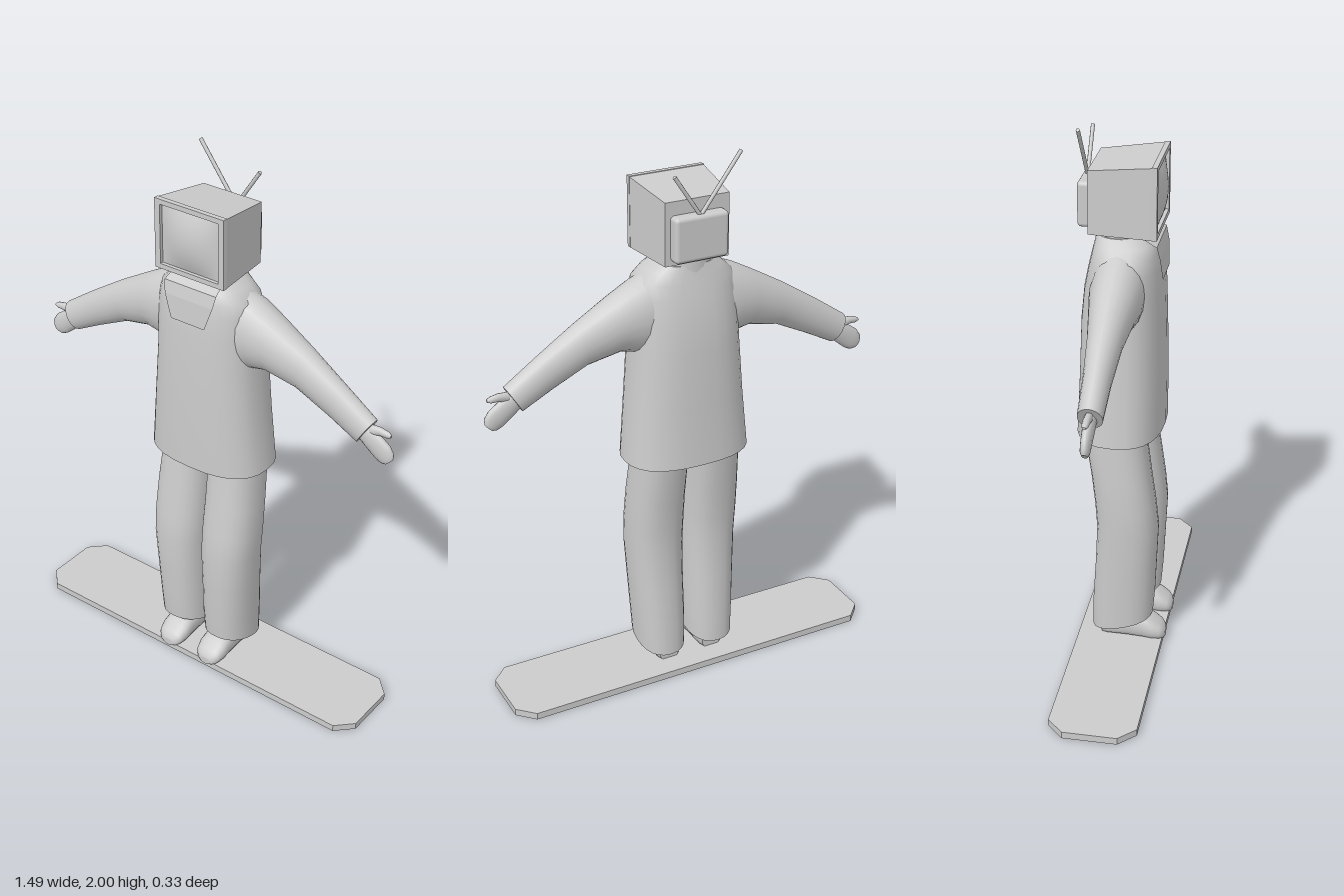
import * as THREE from 'three';
import { RoundedBoxGeometry } from 'three/addons/geometries/RoundedBoxGeometry.js';

const V = (x, y, z) => new THREE.Vector3(x, y, z);

// Smooth skin over rings { c: centre, u, v: half-axes }; e squares the ring off; ends are capped
function loft(rings, sides = 24, e = 2) {
  const pos = [], index = [];
  const axis = rings[rings.length - 1].c.clone().sub(rings[0].c);
  const flip = rings[0].u.clone().cross(rings[0].v).dot(axis) < 0 ? -1 : 1;
  const sq = (t) => Math.sign(t) * Math.pow(Math.abs(t), 2 / e);
  const ringPoints = ({ c, u, v }) => {
    for (let j = 0; j < sides; j++) {
      const a = (j / sides) * Math.PI * 2;
      const p = c.clone().addScaledVector(u, sq(Math.cos(a))).addScaledVector(v, flip * sq(Math.sin(a)));
      pos.push(p.x, p.y, p.z);
    }
  };
  rings.forEach(ringPoints);
  for (let i = 0; i < rings.length - 1; i++) {
    for (let j = 0; j < sides; j++) {
      const a = i * sides + j, b = i * sides + ((j + 1) % sides);
      index.push(a, b, a + sides, b, b + sides, a + sides);
    }
  }
  [rings[0], rings[rings.length - 1]].forEach((ring, end) => {
    const start = pos.length / 3;
    ringPoints(ring);
    pos.push(ring.c.x, ring.c.y, ring.c.z);
    for (let j = 0; j < sides; j++) {
      const a = start + j, b = start + ((j + 1) % sides);
      if (end) index.push(a, b, start + sides);
      else index.push(b, a, start + sides);
    }
  });
  const g = new THREE.BufferGeometry();
  g.setAttribute('position', new THREE.Float32BufferAttribute(pos, 3));
  g.setIndex(index);
  g.computeVertexNormals();
  return g;
}

// Level ring from y, half width and front/back z; drop tilts the front edge up
const levelRing = ([y, rx, zf, zb, x = 0, tilt = 0]) => ({
  c: V(x, y, (zf + zb) / 2), u: V(rx, 0, 0), v: V(0, tilt, (zf - zb) / 2),
});

// Limb ring from its upper and lower edge points in the front plane
const limbRing = (s) => ([tx, ty, bx, by, rz]) => ({
  c: V((s * (tx + bx)) / 2, (ty + by) / 2, 0),
  u: V((s * (tx - bx)) / 2, (ty - by) / 2, 0),
  v: V(0, 0, rz),
});

export function createModel() {
  const model = new THREE.Group();
  const grey = new THREE.MeshStandardMaterial({ color: 0xcccccc });
  grey.name = 'plain grey';
  const add = (name, geometry, parent = model) => {
    const mesh = new THREE.Mesh(geometry, grey);
    mesh.name = name;
    parent.add(mesh);
    return mesh;
  };

  // Board with clipped corners
  const plan = new THREE.Shape([
    [-0.73, -0.1], [-0.67, -0.16], [0.67, -0.16], [0.73, -0.1],
    [0.73, 0.095], [0.67, 0.155], [-0.67, 0.155], [-0.73, 0.095],
  ].map(([x, y]) => new THREE.Vector2(x, y)));
  const board = new THREE.ExtrudeGeometry(plan, { depth: 0.026, bevelEnabled: false });
  add('board', board.rotateX(-Math.PI / 2));

  // Loose jumper, flared at the hem
  add('jumper', loft([
    [0.88, 0.235, 0.145, -0.165], [1.1, 0.215, 0.146, -0.155], [1.3, 0.2, 0.142, -0.148],
    [1.42, 0.196, 0.138, -0.136], [1.5, 0.19, 0.132, -0.12], [1.55, 0.18, 0.122, -0.108],
    [1.585, 0.14, 0.112, -0.1], [1.61, 0.105, 0.085, -0.095],
  ].map(levelRing), 28, 2.5));

  // Neck and angular front collar
  const neck = new THREE.CylinderGeometry(0.1, 0.105, 0.1, 20);
  add('neck', neck.scale(1, 1, 0.88).translate(0, 1.59, -0.01));
  const collarRows = [[0.07, 1.46, 0.14], [0.1, 1.545, 0.134], [0.108, 1.59, 0.124], [0.1, 1.615, 0.075]];
  const collar = new THREE.PlaneGeometry(1, 1, 1, 3).toNonIndexed();
  const cp = collar.attributes.position;
  for (let i = 0; i < cp.count; i++) {
    const [w, y, z] = collarRows[Math.round((cp.getY(i) + 0.5) * 3)];
    cp.setXYZ(i, Math.sign(cp.getX(i)) * w, y, z);
  }
  collar.computeVertexNormals();
  add('collar', collar);

  for (const s of [1, -1]) {
    const side = s > 0 ? 'left' : 'right';

    // Sleeve
    add(side + 'Sleeve', loft([
      [0.08, 1.6, 0.13, 1.27, 0.095], [0.19, 1.558, 0.2, 1.3, 0.092], [0.27, 1.515, 0.25, 1.31, 0.08],
      [0.4, 1.44, 0.37, 1.285, 0.06], [0.54, 1.35, 0.5, 1.222, 0.047], [0.668, 1.262, 0.61, 1.165, 0.042],
    ].map(limbRing(s)), 20));

    // Mitten hand and thumb
    const hand = new THREE.Group();
    hand.name = side + 'Hand';
    model.add(hand);
    add('palm', loft([
      [0.645, 1.24, 0.61, 1.18, 0.022], [0.69, 1.215, 0.645, 1.15, 0.02], [0.728, 1.188, 0.678, 1.124, 0.018],
      [0.745, 1.162, 0.7, 1.113, 0.016], [0.744, 1.14, 0.718, 1.114, 0.01],
    ].map(limbRing(s)), 14), hand);
    add('thumb', loft([
      [0.65, 1.245, 0.66, 1.205, 0.014], [0.69, 1.246, 0.69, 1.217, 0.013],
      [0.72, 1.24, 0.718, 1.217, 0.011], [0.732, 1.232, 0.731, 1.222, 0.006],
    ].map(limbRing(s)), 10), hand);

    // Baggy trouser leg with a slanted hem
    add(side + 'Leg', loft([
      [0.095, 0.09, 0.12, -0.105, s * 0.1, 0.03], [0.2, 0.094, 0.128, -0.103, s * 0.101, 0.02],
      [0.35, 0.098, 0.134, -0.092, s * 0.105, 0.01], [0.5, 0.103, 0.14, -0.084, s * 0.108],
      [0.6, 0.105, 0.13, -0.09, s * 0.109], [0.72, 0.103, 0.113, -0.103, s * 0.108],
      [0.88, 0.098, 0.092, -0.128, s * 0.102], [0.95, 0.098, 0.085, -0.135, s * 0.1],
    ].map(levelRing), 24, 2.3));

    // Shoe, from heel to toe
    add(side + 'Shoe', loft([
      [-0.07, 0.04, 0.1], [-0.05, 0.052, 0.12], [0.03, 0.054, 0.125], [0.085, 0.057, 0.115],
      [0.12, 0.058, 0.095], [0.15, 0.05, 0.073], [0.163, 0.036, 0.058], [0.168, 0.02, 0.045],
    ].map(([z, rx, top]) => ({
      c: V(s * 0.09, (top + 0.017) / 2, z), u: V(rx, 0, 0), v: V(0, (top - 0.017) / 2, 0),
    })), 18, 2.6));
  }

  // Boxy head: body tapering to the back, frame and bulging screen
  const head = new THREE.Group();
  head.name = 'head';
  model.add(head);
  const body = new THREE.BoxGeometry(0.284, 0.256, 0.225).toNonIndexed();
  const bp = body.attributes.position;
  for (let i = 0; i < bp.count; i++) {
    const back = bp.getZ(i) < 0, top = bp.getY(i) > 0;
    bp.setXYZ(i, Math.sign(bp.getX(i)) * (back ? 0.12 : 0.141),
      top ? (back ? 1.85 : 1.878) : 1.627, back ? -0.108 : 0.113);
  }
  body.computeVertexNormals();
  add('casing', body, head);

  const rect = (Type, w, y0, y1) => new Type(
    [[-w, y0], [w, y0], [w, y1], [-w, y1]].map(([x, y]) => new THREE.Vector2(x, y)));
  const frame = rect(THREE.Shape, 0.142, 1.627, 1.88);
  frame.holes.push(rect(THREE.Path, 0.12, 1.645, 1.862));
  const frameGeo = new THREE.ExtrudeGeometry(frame, { depth: 0.018, bevelEnabled: false });
  add('frame', frameGeo.translate(0, 0, 0.111), head);

  const screen = new THREE.PlaneGeometry(0.24, 0.217, 12, 12);
  const sp = screen.attributes.position;
  for (let i = 0; i < sp.count; i++) {
    const x = sp.getX(i) / 0.12, y = sp.getY(i) / 0.1085;
    sp.setZ(i, 0.116 + 0.026 * (1 - x * x) * (1 - y * y));
  }
  screen.computeVertexNormals();
  add('screen', screen.translate(0, 1.7535, 0), head);

  // Rear housing and the two antennas
  const housing = new RoundedBoxGeometry(0.2, 0.16, 0.055, 3, 0.015);
  add('rearHousing', housing.translate(0, 1.722, -0.122), head);
  for (const [x, y] of [[-0.15, 1.996], [0.096, 1.94]]) {
    const path = new THREE.LineCurve3(V(0, 1.795, -0.13), V(x, y, -0.13));
    const rod = path.getLength();
    const geo = new THREE.CylinderGeometry(0.007, 0.007, rod, 8);
    const mesh = add('antenna', geo, head);
    mesh.position.copy(path.getPoint(0.5));
    mesh.quaternion.setFromUnitVectors(V(0, 1, 0), path.getTangent(0));
  }

  return model;
}
